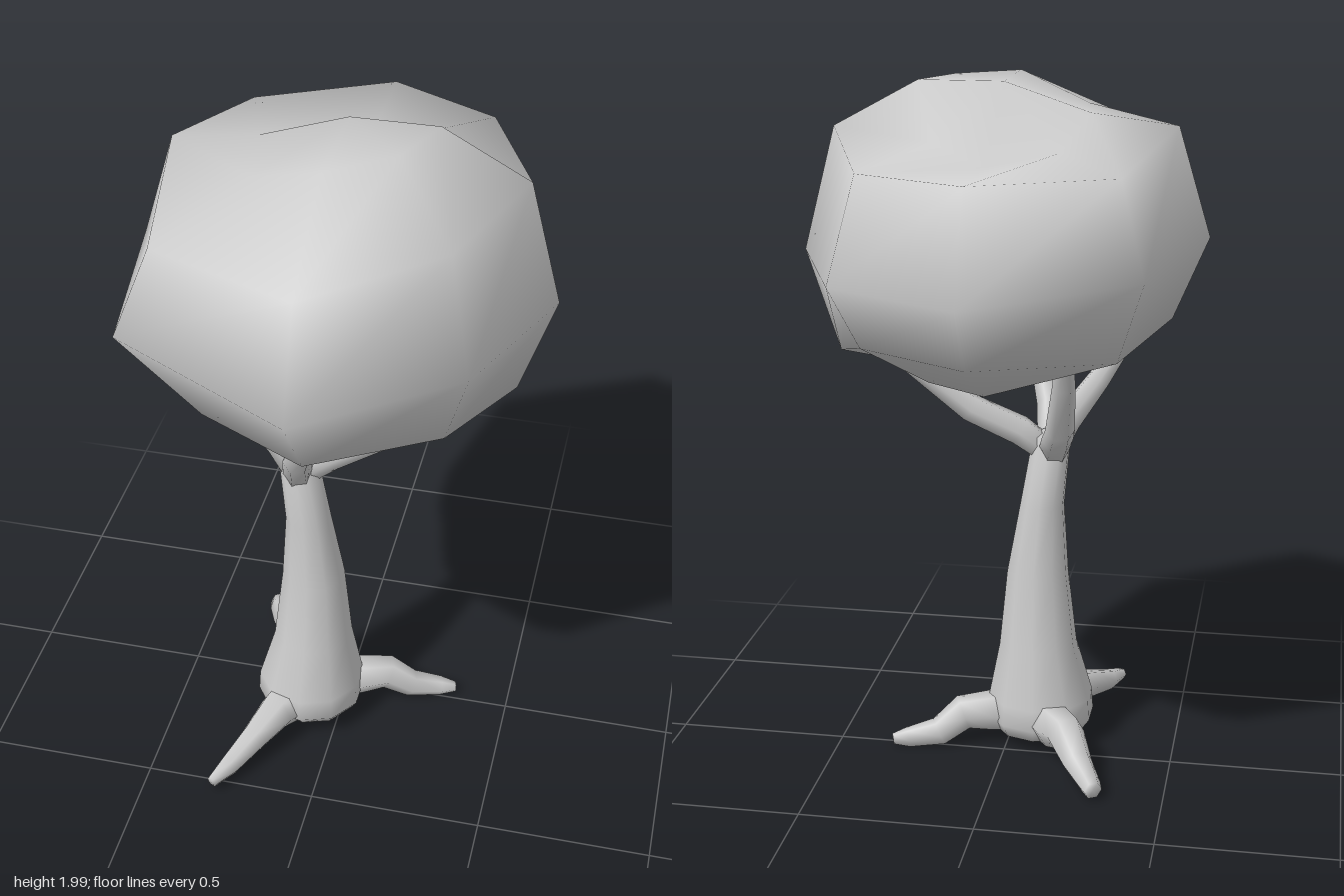
import * as THREE from 'three';

const material = new THREE.MeshStandardMaterial({ color: 0xcccccc });
const V = (x, y, z) => new THREE.Vector3(x, y, z);

// Smooth closed skin over equal-sized rings, with a pole point at each end
function loft(name, rings, start, end) {
  const n = rings[0].length;
  const points = [start, ...rings.flat(), end];
  const last = points.length - 1;
  const index = [];
  for (let j = 0; j < n; j++) {
    const k = (j + 1) % n;
    index.push(0, 1 + k, 1 + j);
    for (let i = 0; i < rings.length - 1; i++) {
      const a = 1 + i * n, b = a + n;
      index.push(a + j, a + k, b + k, a + j, b + k, b + j);
    }
    const t = 1 + (rings.length - 1) * n;
    index.push(t + j, t + k, last);
  }
  const geometry = new THREE.BufferGeometry().setFromPoints(points);
  geometry.setIndex(index);
  geometry.computeVertexNormals();
  const mesh = new THREE.Mesh(geometry, material);
  mesh.name = name;
  return mesh;
}

// Tapered limb through stations [x, y, z, radius]
function limb(name, stations, sides = 6) {
  const pts = stations.map(([x, y, z]) => V(x, y, z));
  const end = pts[pts.length - 1];
  const side = V(0, 1, 0).cross(end.clone().sub(pts[0])).normalize();
  const rings = pts.map((p, i) => {
    const next = pts[Math.min(i + 1, pts.length - 1)];
    const t = next.clone().sub(pts[Math.max(i - 1, 0)]).normalize();
    const v = t.clone().cross(side).normalize();
    return Array.from({ length: sides }, (_, j) => {
      const a = (j / sides) * Math.PI * 2, r = stations[i][3];
      return p.clone().addScaledVector(side, r * Math.cos(a)).addScaledVector(v, r * Math.sin(a));
    });
  });
  return loft(name, rings, pts[0], end);
}

export function createModel() {
  const tree = new THREE.Group();
  tree.name = 'tree';

  // Trunk: level rings [y, centre x, centre z, radius], flared at the foot
  const trunkRings = [
    [0.05, -0.09, 0.115, 0.135], [0.09, -0.093, 0.12, 0.162], [0.155, -0.093, 0.118, 0.158],
    [0.32, -0.085, 0.115, 0.117], [0.55, -0.083, 0.112, 0.092],
    [0.76, -0.095, 0.115, 0.066], [0.97, -0.122, 0.116, 0.056],
  ].map(([y, x, z, r]) => Array.from({ length: 10 }, (_, j) => {
    const a = (j / 10) * Math.PI * 2;
    return V(x + r * Math.sin(a), y, z + r * Math.cos(a));
  }));
  tree.add(loft('trunk', trunkRings, V(-0.09, 0.05, 0.115), V(-0.122, 1.0, 0.116)));

  // Roots
  tree.add(
    limb('leftRoot', [[-0.05, 0.1, 0.1, 0.06], [0.05, 0.107, 0.06, 0.06], [0.13, 0.107, 0.03, 0.052],
      [0.2, 0.05, 0.005, 0.042], [0.29, 0.035, -0.02, 0.03], [0.335, 0.03, -0.03, 0.016]]),
    limb('backRoot', [[-0.1, 0.1, 0.08, 0.07], [-0.16, 0.11, -0.03, 0.065], [-0.2, 0.125, -0.1, 0.058],
      [-0.245, 0.07, -0.17, 0.045], [-0.29, 0.047, -0.25, 0.034], [-0.305, 0.043, -0.285, 0.027]]),
    limb('frontRoot', [[-0.1, 0.1, 0.15, 0.08], [-0.165, 0.103, 0.27, 0.06], [-0.21, 0.078, 0.37, 0.044],
      [-0.26, 0.05, 0.47, 0.033], [-0.295, 0.042, 0.54, 0.018]]),
  );

  // Branches reaching up into the foliage
  tree.add(
    limb('leftBranch', [[-0.1, 0.93, 0.115, 0.04], [-0.03, 0.985, 0.1, 0.045], [0.11, 1.055, 0.07, 0.042],
      [0.3, 1.2, 0.04, 0.026], [0.36, 1.26, 0.03, 0.018]]),
    limb('rightBranch', [[-0.12, 0.93, 0.12, 0.045], [-0.17, 1.02, 0.125, 0.042],
      [-0.255, 1.14, 0.14, 0.035], [-0.335, 1.265, 0.15, 0.025], [-0.365, 1.38, 0.15, 0.016]]),
    limb('backBranch', [[-0.13, 0.93, 0.1, 0.045], [-0.15, 0.985, 0.03, 0.046], [-0.17, 1.04, -0.06, 0.042],
      [-0.195, 1.2, -0.17, 0.032], [-0.21, 1.38, -0.28, 0.02]]),
    limb('frontBranch', [[-0.12, 0.92, 0.13, 0.042], [-0.1, 1.04, 0.22, 0.04],
      [-0.06, 1.15, 0.295, 0.032], [-0.04, 1.27, 0.345, 0.023], [-0.03, 1.36, 0.37, 0.015]]),
  );

  // Foliage: lopsided ball; outline corners run front, left, back, right
  const outline = [[0, 0.71], [0.4, 0.41], [0.57, 0], [0.37, -0.53],
    [0, -0.71], [-0.44, -0.49], [-0.57, 0], [-0.49, 0.52]];
  const levels = [
    [0.45, [1.22, 1.21, 1.2, 1.21, 1.2, 1.25, 1.29, 1.25]],
    [0.83, [1.28, 1.28, 1.23, 1.35, 1.34, 1.33, 1.36, 1.31]],
    [1.0, [1.52, 1.52, 1.52, 1.53, 1.52, 1.56, 1.59, 1.59]],
    [0.84, [1.81, 1.84, 1.87, 1.81, 1.81, 1.81, 1.89, 1.81]],
    [0.42, [2.0, 2.0, 2.0, 1.86, 1.81, 1.84, 1.92, 1.92]],
  ];
  const leafRings = levels.map(([s, ys]) => outline.map(([x, z], j) => V(x * s, ys[j], z * s)));
  // Undercut at the lower front right
  leafRings[1][0].z = 0.54;
  leafRings[1][7].set(-0.3, 1.31, 0.42);
  tree.add(loft('foliage', leafRings, V(0, 1.21, 0), V(0, 2, 0)));

  return tree;
}
